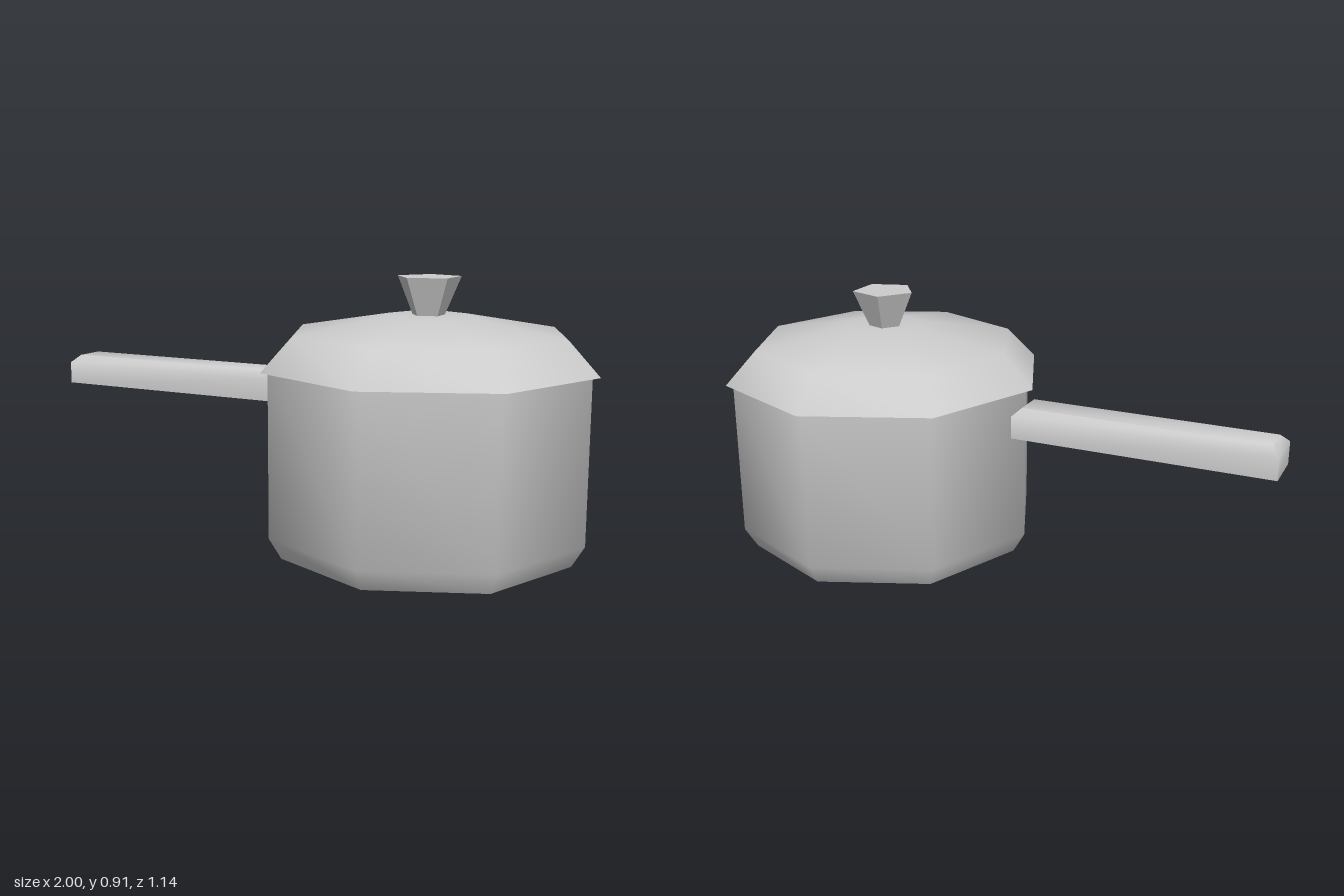
import * as THREE from 'three';
import { toCreasedNormals } from 'three/addons/utils/BufferGeometryUtils.js';

const CENTER_X = 0.427;

export function createModel() {
  const group = new THREE.Group();
  group.name = 'saucepan';
  const metal = new THREE.MeshStandardMaterial({ color: 0xcccccc });
  metal.name = 'grey metal';

  function add(name, geometry, crease, x = 0, y = 0) {
    const mesh = new THREE.Mesh(toCreasedNormals(geometry, crease), metal);
    mesh.name = name;
    mesh.position.set(x, y, 0);
    group.add(mesh);
  }

  // Eight-sided turned shape from [radius, height] pairs, bottom to top
  const turned = (profile) =>
    new THREE.LatheGeometry(profile.map(([r, y]) => new THREE.Vector2(r, y)), 8);

  // Pot body with a chamfered base
  add('pot', turned([[0, 0], [0.503, 0], [0.545, 0.072], [0.545, 0.615]]), 0.95, CENTER_X);

  // Overhanging lid, closed underneath
  add('lid', turned([[0, 0.615], [0.57, 0.615], [0.465, 0.726], [0.14, 0.782], [0, 0.782]]), 0.95, CENTER_X);

  // Five-sided flared knob
  add('knob', new THREE.CylinderGeometry(0.11, 0.055, 0.127, 5, 1, false, -Math.PI / 2), 0.4, CENTER_X, 0.8435);

  // Handle: a long box whose top edges are chamfered
  const handle = new THREE.BoxGeometry(0.9, 2, 0.16, 1, 2, 1);
  const p = handle.attributes.position;
  for (let i = 0; i < p.count; i++) {
    const level = Math.round(p.getY(i)) + 1;
    const inset = level === 2 ? 0.028 : 0;
    p.setXYZ(
      i,
      p.getX(i) - Math.sign(p.getX(i)) * inset,
      [0.46, 0.538, 0.565][level],
      p.getZ(i) - Math.sign(p.getZ(i)) * inset
    );
  }
  add('handle', handle, 0.95, -0.55);

  return group;
}
